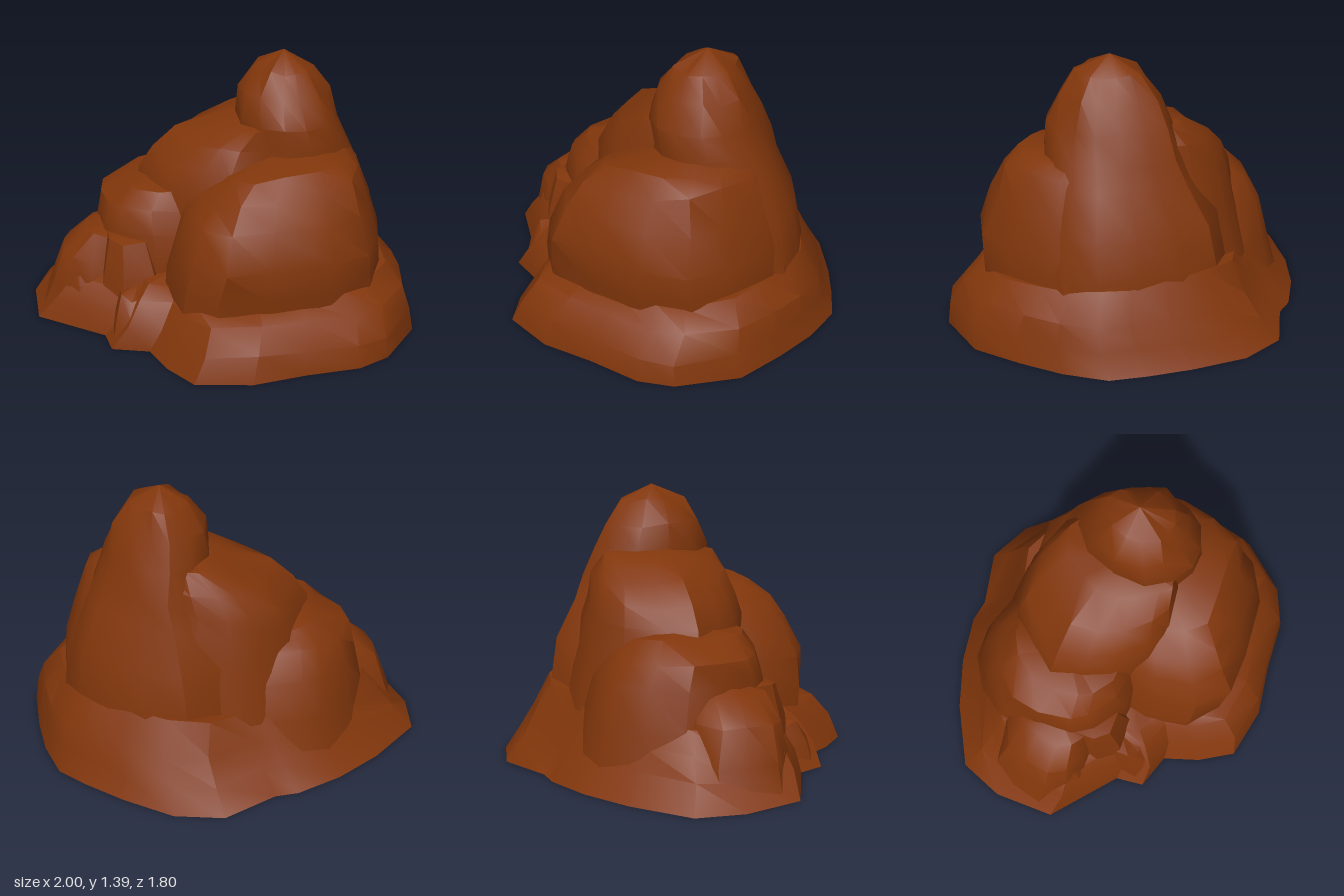
import * as THREE from 'three';
import { toCreasedNormals } from 'three/addons/utils/BufferGeometryUtils.js';

// Small seeded generator for rough rock surfaces
function seeded(seed) {
  let s = seed * 7919 + 17;
  return () => {
    s = (s * 16807) % 2147483647;
    return s / 2147483647;
  };
}

// Irregular rounded outline, clockwise from above; power below 1 makes it squarer
function roundOutline(sides, seed, power = 1) {
  const rnd = seeded(seed);
  const bend = v => Math.sign(v) * Math.pow(Math.abs(v), power);
  return Array.from({ length: sides }, (_, i) => {
    const a = ((i + rnd() * 0.4) / sides) * Math.PI * 2;
    const r = 0.95 + rnd() * 0.07;
    return [bend(Math.cos(a)) * r, bend(Math.sin(a)) * r];
  });
}

// Rock lofted from one outline fitted into levels [y, xMin, xMax, zMin, zMax, tiltX, tiltZ]
function rock(name, material, outline, levels, apex, seed, closed = false) {
  const rnd = seeded(seed + 50);
  const n = outline.length;
  const xs = outline.map(p => p[0]);
  const zs = outline.map(p => p[1]);
  const [ax, bx] = [Math.min(...xs), Math.max(...xs)];
  const [az, bz] = [Math.min(...zs), Math.max(...zs)];
  const pos = [];
  const idx = [];
  for (const [y, x0, x1, z0, z1, tx = 0, tz = 0] of levels) {
    for (const [u, v] of outline) {
      const x = x0 + ((u - ax) / (bx - ax)) * (x1 - x0);
      const z = z0 + ((v - az) / (bz - az)) * (z1 - z0);
      const k = y === 0 ? 0 : 0.015;
      pos.push(
        x + (rnd() - 0.5) * k,
        Math.max(0, y + tx * (x - (x0 + x1) / 2) + tz * (z - (z0 + z1) / 2) + (rnd() - 0.5) * k * 2),
        z + (rnd() - 0.5) * k
      );
    }
  }
  const top = (levels.length - 1) * n;
  pos.push(...apex, 0, 0, 0);
  const tip = top + n;
  for (let i = 0; i < n; i++) {
    const j = (i + 1) % n;
    for (let l = 0; l < top; l += n) {
      idx.push(l + i, l + n + i, l + n + j, l + i, l + n + j, l + j);
    }
    idx.push(tip, top + j, top + i);
    if (closed) idx.push(tip + 1, i, j);
  }
  const geo = new THREE.BufferGeometry();
  geo.setAttribute('position', new THREE.Float32BufferAttribute(pos, 3));
  geo.setIndex(idx);
  const mesh = new THREE.Mesh(toCreasedNormals(geo, 0.6), material);
  mesh.name = name;
  return mesh;
}

export function createModel() {
  const group = new THREE.Group();
  group.name = 'rockMound';
  const brown = new THREE.MeshStandardMaterial({ color: 0x81360b });
  brown.name = 'earth brown';

  // Wide foot with an uneven ground outline
  const foot = [
    [-1, -0.13], [-0.95, -0.37], [-0.68, -0.58], [-0.44, -0.71], [-0.2, -0.79], [-0.08, -0.79],
    [0.2, -0.9], [0.44, -0.83], [0.66, -0.65], [0.82, -0.49], [0.94, -0.35], [0.99, -0.13],
    [1, 0.1], [0.99, 0.37], [0.82, 0.65], [0.67, 0.75], [0.4, 0.81], [0.14, 0.89],
    [-0.14, 0.88], [-0.27, 0.73], [-0.36, 0.56], [-0.55, 0.53], [-0.59, 0.39], [-0.95, 0.18]
  ];
  group.add(rock('foot', brown, foot, [
    [0, -1, 1, -0.9, 0.9],
    [0.12, -0.89, 0.97, -0.8, 0.87],
    [0.23, -0.81, 0.945, -0.72, 0.77],
    [0.33, -0.72, 0.85, -0.64, 0.67, 0.03, -0.07]
  ], [0.1, 0.36, 0], 1, true));

  // Big front bulge, square at its front corners, with a sloping shelf on top
  const bulge = [
    [-0.28, 0.1], [-0.2, -0.3], [0, -0.53], [0.2, -0.59], [0.45, -0.52], [0.65, -0.36], [0.79, -0.18],
    [0.84, 0.02], [0.82, 0.27], [0.74, 0.48], [0.54, 0.63], [0.22, 0.71], [-0.02, 0.73], [-0.19, 0.62], [-0.28, 0.4]
  ];
  group.add(rock('mainBulge', brown, bulge, [
    [0.12, -0.29, 0.84, -0.57, 0.7],
    [0.34, -0.27, 0.84, -0.57, 0.715],
    [0.49, -0.23, 0.83, -0.55, 0.73],
    [0.66, -0.17, 0.77, -0.5, 0.655],
    [0.8, -0.1, 0.71, -0.42, 0.58, 0.12, 0],
    [0.88, 0.02, 0.65, -0.36, 0.48, 0.13, 0]
  ], [0.36, 0.97, 0.05], 2));

  // Tall spire, its back corner cut flat, running smoothly down to the foot
  const spire = [
    [-1, 0], [-0.85, -0.5], [-0.45, -0.88], [0, -1], [0.38, -0.8], [0.68, -0.5], [0.91, -0.2],
    [1, 0.12], [0.92, 0.45], [0.7, 0.75], [0.3, 0.97], [-0.1, 1], [-0.55, 0.85], [-0.87, 0.5]
  ];
  group.add(rock('spire', brown, spire, [
    [0.2, -0.25, 0.86, -0.64, 0.4],
    [0.4, -0.2, 0.845, -0.61, 0.38],
    [0.6, -0.12, 0.8, -0.57, 0.35],
    [0.8, -0.02, 0.72, -0.45, 0.3],
    [0.93, 0.07, 0.665, -0.4, 0.29],
    [1.06, 0.08, 0.61, -0.35, 0.3],
    [1.19, 0.1, 0.56, -0.28, 0.23],
    [1.31, 0.19, 0.48, -0.2, 0.16]
  ], [0.33, 1.39, -0.02], 3));

  // Shoulder ridge sloping down beside the spire
  group.add(rock('shoulderRidge', brown, roundOutline(16, 6, 1.1), [
    [0.2, -0.5, 0.6, -0.62, 0.34],
    [0.42, -0.47, 0.6, -0.57, 0.36],
    [0.6, -0.44, 0.56, -0.53, 0.36],
    [0.74, -0.41, 0.52, -0.5, 0.35],
    [0.84, -0.34, 0.48, -0.47, 0.33],
    [0.95, -0.22, 0.45, -0.43, 0.3],
    [1.04, -0.02, 0.4, -0.34, 0.26]
  ], [0.18, 1.1, -0.02], 4));

  // Upper shelf wrapping round to the back
  group.add(rock('upperStep', brown, roundOutline(15, 12), [
    [0.04, -0.72, 0.25, -0.67, 0.3],
    [0.3, -0.67, 0.2, -0.61, 0.3],
    [0.5, -0.64, 0.14, -0.55, 0.29],
    [0.62, -0.61, 0.08, -0.47, 0.25],
    [0.7, -0.49, 0, -0.38, 0.2]
  ], [-0.28, 0.75, -0.08], 5));

  // Lower shelf at the outer side
  group.add(rock('lowerStep', brown, roundOutline(12, 15, 0.75), [
    [0.02, -0.94, -0.25, -0.32, 0.24],
    [0.17, -0.88, -0.28, -0.29, 0.24],
    [0.34, -0.82, -0.32, -0.24, 0.22],
    [0.46, -0.69, -0.38, -0.2, 0.19]
  ], [-0.52, 0.52, -0.02], 6));

  // Loose boulders at the front corner: [xMin, xMax, zMin, zMax, height]
  const boulders = [
    [-0.64, -0.26, -0.02, 0.38, 0.48],
    [-0.57, -0.26, 0.18, 0.54, 0.24],
    [-0.83, -0.56, -0.04, 0.27, 0.34]
  ];
  boulders.forEach(([x0, x1, z0, z1, h], i) => {
    group.add(rock('boulder' + (i + 1), brown, roundOutline(8, 20 + i, 0.85), [
      [0.01, x0, x1, z0, z1],
      [h * 0.6, x0 + 0.02, x1 - 0.02, z0, z1 - 0.03],
      [h * 0.95, x0 + 0.06, x1 - 0.08, z0 + 0.05, z1 - 0.09]
    ], [(x0 + x1) / 2, h + 0.02, (z0 + z1) / 2 - 0.04], 30 + i));
  });

  return group;
}
